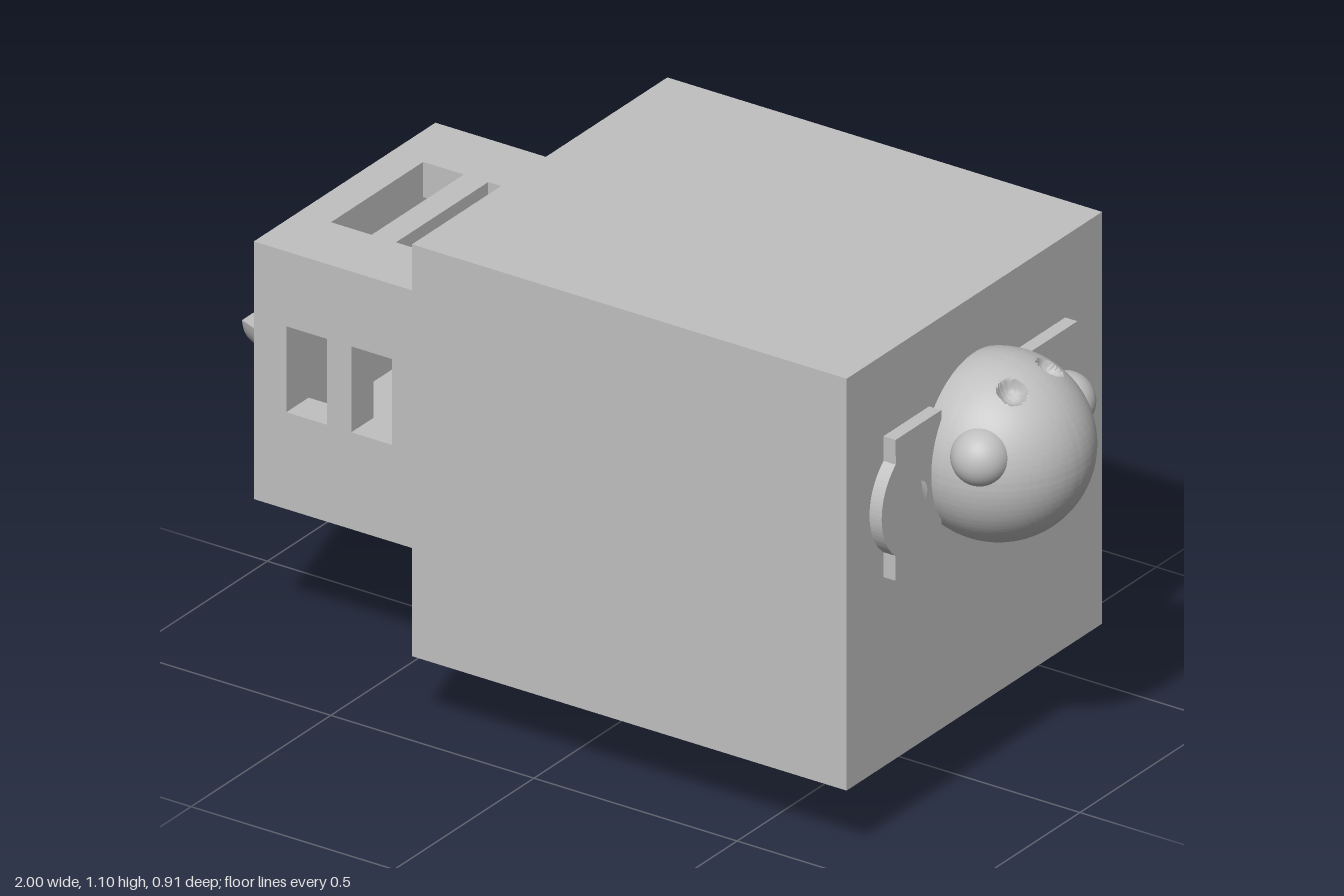
import * as THREE from 'three';
import { toCreasedNormals, mergeVertices } from 'three/addons/utils/BufferGeometryUtils.js';

export function createModel() {
  const model = new THREE.Group();
  const grey = new THREE.MeshStandardMaterial({ color: 0xc0c0c0 });
  grey.name = 'light grey';

  const add = (name, geometry) => {
    const mesh = new THREE.Mesh(geometry, grey);
    mesh.name = name;
    model.add(mesh);
    return mesh;
  };

  const rectPoints = (u0, u1, v0, v1) =>
    [[u0, v0], [u1, v0], [u1, v1], [u0, v1]].map(([u, v]) => new THREE.Vector2(u, v));
  const rect = (...r) => new THREE.Shape(rectPoints(...r));
  const circle = (u, v, r) => new THREE.Path().absarc(u, v, r, 0, Math.PI * 2, true);

  // Extrudes a shape along the x, y or z axis between two positions
  const slab = (name, axis, from, to, shape, holes = []) => {
    shape.holes = holes;
    let g = new THREE.ExtrudeGeometry(shape, { depth: to - from, bevelEnabled: false, curveSegments: 40 });
    g.translate(0, 0, from);
    if (axis === 'x') g.rotateY(Math.PI / 2);
    if (axis === 'y') g.rotateX(-Math.PI / 2);
    return add(name, toCreasedNormals(g, 0.6));
  };
  const hole = (...r) => new THREE.Path(rectPoints(...r));

  // Main body, with a mounting slot underneath and notches on the tail side
  slab('bodyTop', 'y', 0.33, 1.1, rect(-0.3, 0.74, -0.457, 0.457));
  slab('bodyBase', 'y', 0.165, 0.33, rect(-0.3, 0.74, -0.457, 0.457), [hole(0.27, 0.35, -0.42, 0.42)]);
  slab('bodyRearPanel', 'x', -0.33, -0.3, rect(-0.457, 0.457, 0.165, 1.1),
    [hole(-0.36, 0.36, 0.55, 0.745), hole(-0.165, 0.165, 0.8, 1.0)]);
  slab('slotBracket', 'x', 0.27, 0.293, rect(-0.42, 0.42, 0.165, 0.33),
    [circle(-0.243, 0.2, 0.03), circle(0.243, 0.2, 0.03)]);

  // Round foot with a bore
  const footShape = new THREE.Shape().absarc(0.207, 0, 0.16, 0, Math.PI * 2);
  slab('foot', 'y', 0, 0.165, footShape, [circle(0.207, 0, 0.047)]);

  // Hollow rear box with three vent rows
  const vents = [[-0.73, -0.63], [-0.57, -0.47], [-0.41, -0.31]];
  for (const s of [-1, 1]) {
    slab('rearBoxSide', 'z', s > 0 ? 0.245 : -0.325, s > 0 ? 0.325 : -0.245,
      rect(-0.81, -0.305, 0.33, 0.915), vents.map(([a, b]) => hole(a, b, 0.55, 0.745)));
  }
  slab('rearBoxTop', 'y', 0.835, 0.915, rect(-0.81, -0.305, -0.325, 0.325),
    vents.map(([a, b]) => hole(a, b, -0.165, 0.165)));
  slab('rearBoxBottom', 'y', 0.33, 0.47, rect(-0.81, -0.305, -0.325, 0.325),
    [hole(-0.6, -0.47, -0.045, 0.045)]);
  slab('rearBoxFloor', 'y', 0.46, 0.49, rect(-0.8, -0.305, -0.25, 0.25));
  slab('rearBoxEnd', 'x', -0.81, -0.73, rect(-0.325, 0.325, 0.33, 0.915),
    [hole(-0.125, 0.125, 0.587, 0.708)]);

  // Slice of a cone beyond a plane at distance d from the cone axis
  const coneSlice = (d, tipX) => {
    const radius = x => 0.165 - (-0.81 - x) * 0.384;
    const rings = 16, arc = 24, row = arc + 1, p = [], index = [];
    for (let i = 0; i <= rings; i++) {
      const x = tipX + (-0.81 - tipX) * (1 - i / rings) ** 2;
      const r = radius(x), a = Math.acos(Math.min(1, d / r));
      for (let j = 0; j <= arc; j++) {
        const t = -a + 2 * a * j / arc;
        p.push(x, r * Math.cos(t), r * Math.sin(t));
      }
    }
    for (let i = 0; i < rings; i++) {
      for (let j = 0; j < row; j++) {
        const k = (j + 1) % row, a = i * row + j, b = i * row + k;
        index.push(a, a + row, b, b, a + row, b + row);
      }
    }
    for (let j = 1; j < arc; j++) index.push(rings * row, rings * row + j + 1, rings * row + j);
    const g = new THREE.BufferGeometry();
    g.setAttribute('position', new THREE.Float32BufferAttribute(p, 3));
    g.setIndex(index);
    return toCreasedNormals(g, 0.6);
  };

  // Conical beak split by an open mouth
  const beak = [
    ['upperBeak', 0.113, -0.945, 0],
    ['lowerBeak', 0.012, -1, Math.PI],
    ['leftCheek', 0.13, -0.9, Math.PI / 2],
    ['rightCheek', 0.13, -0.9, -Math.PI / 2],
  ];
  for (const [name, d, tip, turn] of beak) {
    add(name, coneSlice(d, tip).rotateX(turn)).position.y = 0.597;
  }

  // Ball head with two dished nostrils
  let ball = new THREE.SphereGeometry(0.2, 160, 100);
  ball.deleteAttribute('uv');
  ball.deleteAttribute('normal');
  ball = mergeVertices(ball);
  const nostrils = [-1, 1].map(s => new THREE.Vector3(0.08, 0.17, s * 0.068).setLength(0.2));
  const pos = ball.attributes.position, v = new THREE.Vector3();
  for (let i = 0; i < pos.count; i++) {
    v.fromBufferAttribute(pos, i);
    for (const n of nostrils) {
      const d = v.distanceTo(n);
      if (d < 0.03) v.setLength(0.2 - Math.sqrt(0.0009 - d * d));
    }
    pos.setXYZ(i, v.x, v.y, v.z);
  }
  add('head', toCreasedNormals(ball, 0.5)).position.set(0.8, 0.78, 0);

  // Eyes, and mounting plates with a rounded outer edge beside the head
  for (const s of [-1, 1]) {
    add('eye', new THREE.SphereGeometry(0.063, 40, 28)).position.set(0.86, 0.832, s * 0.151);

    const a = Math.atan2(0.104, 0.082);
    const plate = new THREE.Shape();
    plate.moveTo(s * 0.162, 0.595);
    plate.lineTo(s * 0.325, 0.595);
    plate.lineTo(s * 0.325, 0.651);
    if (s > 0) plate.absarc(0.243, 0.755, 0.132, -a, a, false);
    else plate.absarc(-0.243, 0.755, 0.132, Math.PI + a, Math.PI - a, true);
    plate.lineTo(s * 0.325, 0.915);
    plate.lineTo(s * 0.162, 0.915);
    slab('mountingPlate', 'x', 0.74, 0.77, plate, [circle(s * 0.243, 0.755, 0.031)]);
  }

  return model;
}
